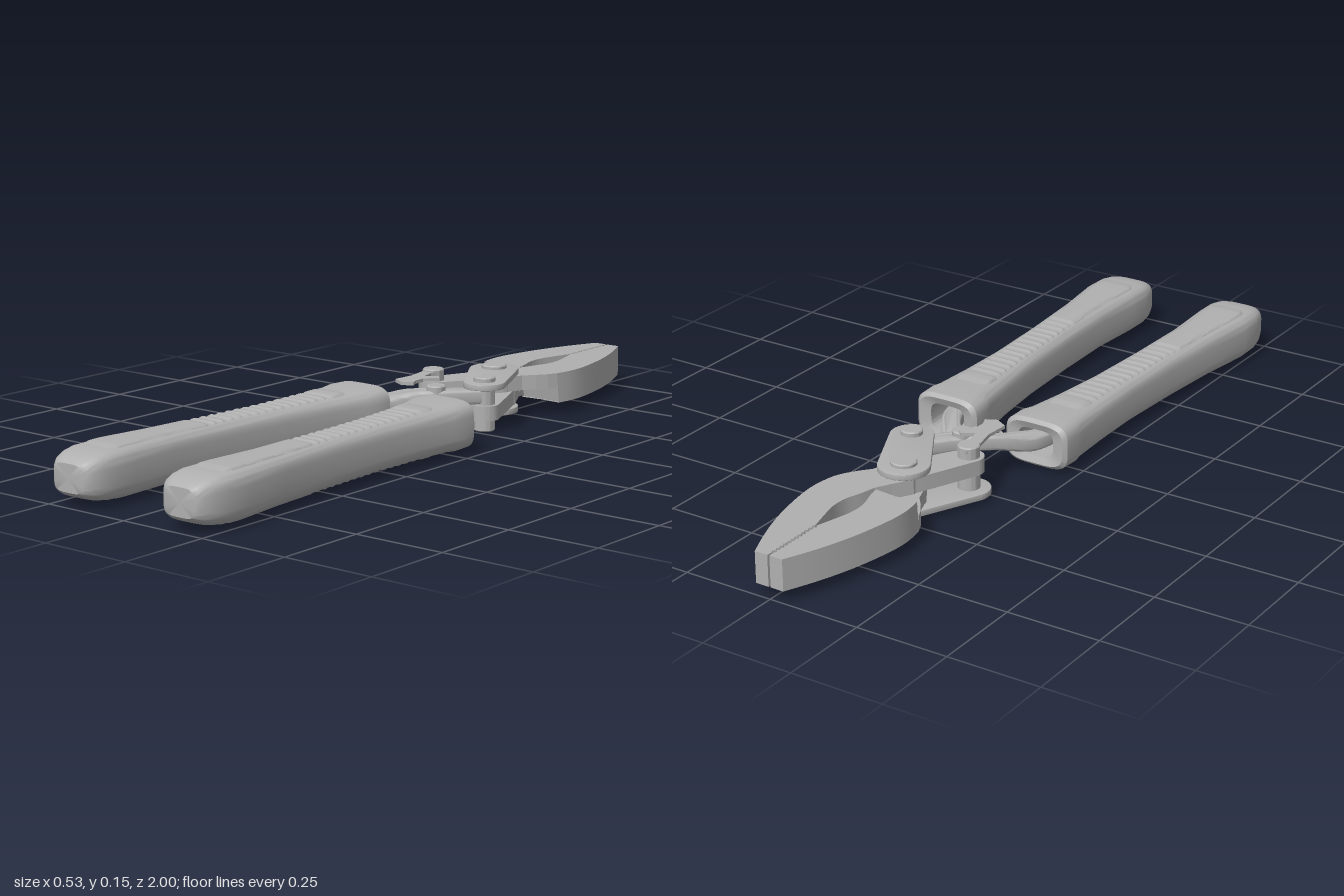
import * as THREE from 'three';
import { toCreasedNormals } from 'three/addons/utils/BufferGeometryUtils.js';

const MID = 0.075; // height of the tool's mid plane
const steel = new THREE.MeshStandardMaterial({ color: 0xb0b0b0 });
steel.name = 'plain grey';

function add(parent, name, geometry) {
  const mesh = new THREE.Mesh(geometry, steel);
  mesh.name = name;
  parent.add(mesh);
  return mesh;
}

// Flat plate: outline in x and z, extruded between two heights
function plate(shape, y0, y1, bevel = 0) {
  const g = new THREE.ExtrudeGeometry(shape, {
    depth: y1 - y0 - 2 * bevel, curveSegments: 20, bevelEnabled: bevel > 0,
    bevelThickness: bevel, bevelSize: bevel, bevelOffset: -bevel, bevelSegments: 3,
  });
  g.rotateX(Math.PI / 2);
  g.translate(0, y1 - bevel, 0);
  return g;
}

const outline = (pts) => new THREE.Shape(pts.map(([x, z]) => new THREE.Vector2(x, z)));
const spline = (pts, n) => new THREE.SplineCurve(pts.map(([x, z]) => new THREE.Vector2(x, z))).getPoints(n);

// Link with two round ends
function link([ax, az], [bx, bz], ra, rb) {
  const t = Math.atan2(bz - az, bx - ax);
  const f = Math.acos((ra - rb) / Math.hypot(bx - ax, bz - az));
  const s = new THREE.Shape();
  s.absarc(ax, az, ra, t + f, t - f + 2 * Math.PI, false);
  s.absarc(bx, bz, rb, t - f, t + f, false);
  return s;
}

// Pin with slightly chamfered heads
function pin(parent, name, [x, z], r, y0, y1) {
  const c = 0.003;
  const profile = [[0, y0], [r - c, y0], [r, y0 + c], [r, y1 - c], [r - c, y1], [0, y1]];
  const g = new THREE.LatheGeometry(profile.map(([a, b]) => new THREE.Vector2(a, b)), 28);
  add(parent, name, toCreasedNormals(g, 0.6)).position.set(x, 0, z);
}

// Skin over rounded sections [z, xMin, xMax, halfHeight]
function loft(stations, power, sides = 40) {
  const pos = [], idx = [];
  const bend = (v) => Math.sign(v) * Math.pow(Math.abs(v), 2 / power);
  for (const [z, x0, x1, h] of stations) {
    for (let j = 0; j < sides; j++) {
      const t = (j / sides) * 2 * Math.PI;
      pos.push((x0 + x1) / 2 + bend(Math.cos(t)) * (x1 - x0) / 2, MID + bend(Math.sin(t)) * h, z);
    }
  }
  const last = stations.length - 1;
  for (let i = 0; i < last; i++) {
    for (let j = 0; j < sides; j++) {
      const k = (j + 1) % sides, a = i * sides, b = a + sides;
      idx.push(a + j, a + k, b + j, a + k, b + k, b + j);
    }
  }
  for (const i of [0, last]) {
    const [z, x0, x1] = stations[i];
    const c = pos.length / 3, a = i * sides;
    pos.push((x0 + x1) / 2, MID, z);
    for (let j = 0; j < sides; j++) {
      const k = (j + 1) % sides;
      if (i === 0) idx.push(c, a + k, a + j);
      else idx.push(c, a + j, a + k);
    }
  }
  const g = new THREE.BufferGeometry();
  g.setAttribute('position', new THREE.Float32BufferAttribute(pos, 3));
  g.setIndex(idx);
  return toCreasedNormals(g, 0.7);
}

const grip = [
  [0.04, -0.19, -0.085, 0.035], [-0.054, -0.19, -0.085, 0.037], [-0.062, -0.222, -0.057, 0.056],
  [-0.052, -0.233, -0.046, 0.065], [0.0, -0.235, -0.047, 0.066], [0.03, -0.231, -0.056, 0.063],
  [0.15, -0.225, -0.075, 0.061], [0.3, -0.222, -0.092, 0.06], [0.5, -0.23, -0.104, 0.061],
  [0.7, -0.245, -0.109, 0.062], [0.85, -0.265, -0.1, 0.064], [0.92, -0.264, -0.099, 0.063],
  [0.955, -0.257, -0.104, 0.058], [0.98, -0.247, -0.113, 0.05], [0.993, -0.237, -0.124, 0.042],
  [1.0, -0.228, -0.135, 0.036],
];

function gripAt(z) {
  let i = 4;
  while (i < grip.length - 2 && grip[i + 1][0] < z) i++;
  const a = grip[i], b = grip[i + 1], t = (z - a[0]) / (b[0] - a[0]);
  return a.map((v, k) => v + (b[k] - v) * t);
}

function buildHalf() {
  const half = new THREE.Group();
  const pivot = [0, -0.45], rearPin = [0.087, -0.29];

  // Handle with hollow mouth
  add(half, 'handle', loft(grip, 4));

  // Ribbed grip panels on both faces of the handle
  const panel = [];
  for (let i = 0; i <= 180; i++) {
    const z = 0.04 + (i / 180) * 0.89;
    const [, x0, x1, h] = gripAt(z);
    const end = Math.min(1, Math.min(z - 0.04, 0.93 - z) / 0.05);
    const w = (x1 - x0) / 2 * (0.45 + 0.27 * Math.sqrt(end)), c = (x0 + x1) / 2;
    const rib = z > 0.12 && z < 0.57 ? 0.0025 * Math.cos((z - 0.12) / 0.03 * 2 * Math.PI) - 0.0025 : 0;
    panel.push([z, c - w, c + w, h - 0.003 + 0.0065 * end + rib]);
  }
  add(half, 'gripPanel', loft(panel, 7, 32));

  // Curved arm from the handle across the centre pin
  const path = new THREE.SplineCurve([
    [-0.142, 0.03], [-0.128, -0.04], [-0.095, -0.1], [-0.05, -0.15], [0, -0.19], [0.045, -0.24], rearPin,
  ].map(([x, z]) => new THREE.Vector2(x, z)));
  const sideA = [], sideB = [];
  for (let i = 0; i <= 30; i++) {
    const p = path.getPoint(i / 30), t = path.getTangent(i / 30);
    sideA.push([p.x - t.y * 0.026, p.y + t.x * 0.026]);
    sideB.unshift([p.x + t.y * 0.026, p.y - t.x * 0.026]);
  }
  const arm = plate(outline([...sideA, ...sideB]), 0.077, 0.117, 0.008);
  const ap = arm.attributes.position;
  for (let i = 0; i < ap.count; i++) {
    ap.setY(i, ap.getY(i) - 0.022 * THREE.MathUtils.smoothstep(ap.getZ(i), -0.17, -0.06));
  }
  add(half, 'arm', toCreasedNormals(arm, 0.6));

  // Jaw: curved back, toothed tip and hollow pipe grip
  const back = spline([[-0.04, -1], [-0.078, -0.91], [-0.11, -0.81], [-0.132, -0.7], [-0.136, -0.63], [-0.127, -0.57]], 24);
  const hollow = spline([[-0.003, -0.57], [-0.012, -0.61], [-0.027, -0.66], [-0.028, -0.71], [-0.014, -0.77], [-0.003, -0.81]], 20);
  const teeth = [];
  for (let i = 0; i <= 24; i++) teeth.push([i % 2 ? -0.007 : -0.002, -0.815 - i * 0.007]);
  const edge = [...back, ...hollow].map((p) => [p.x, p.y]);
  const jaw = plate(outline([...edge, ...teeth, [-0.003, -1]]), 0.033, 0.117);
  const jp = jaw.attributes.position;
  for (let i = 0; i < jp.count; i++) { // slanted shoulder at the lap joint
    if (jp.getY(i) > MID && Math.abs(jp.getZ(i) + 0.57) < 0.001) jp.setZ(i, -0.588);
  }
  add(half, 'jaw', toCreasedNormals(jaw, 0.4));

  // Half-thickness lap joint and tang behind the jaw
  add(half, 'jawLap', plate(outline([
    [-0.127, -0.571], [-0.115, -0.545], [-0.095, -0.515], [-0.07, -0.485], [-0.05, -0.43],
    [0.0, -0.4], [0.05, -0.43], [0.05, -0.48], [0.02, -0.53], [-0.003, -0.571],
  ]), 0.033, 0.074));
  add(half, 'jawTang', toCreasedNormals(plate(link(pivot, rearPin, 0.055, 0.04), 0.033, 0.074), 0.5));

  // Outer link plate and its pins
  add(half, 'linkPlate', toCreasedNormals(plate(link(pivot, rearPin, 0.067, 0.057), 0.119, 0.136, 0.002), 0.5));
  pin(half, 'rearPin', rearPin, 0.029, 0.001, 0.149);
  return half;
}

export function createModel() {
  const model = new THREE.Group();
  model.name = 'compoundPliers';

  // Both halves are the same part, turned half a revolution about the long axis
  const right = buildHalf();
  right.name = 'rightHalf';
  const left = buildHalf();
  left.name = 'leftHalf';
  left.rotation.z = Math.PI;
  left.position.y = 2 * MID;
  model.add(right, left);

  pin(model, 'mainPivot', [0, -0.45], 0.034, 0.004, 0.146);
  pin(model, 'centrePin', [0, -0.19], 0.026, 0.02, 0.13);

  // Locking latch with thumb tab and hook
  add(model, 'latch', plate(outline([
    [-0.112, -0.3], [-0.098, -0.32], [-0.07, -0.315], [-0.058, -0.29], [-0.068, -0.255], [-0.058, -0.215],
    [-0.025, -0.235], [-0.012, -0.22], [-0.04, -0.185], [-0.04, -0.155], [-0.03, -0.13],
    [-0.06, -0.115], [-0.095, -0.135], [-0.09, -0.2], [-0.1, -0.25],
  ]), 0.134, 0.143));

  // Wire return spring between the arms
  const ring = new THREE.TorusGeometry(0.056, 0.004, 8, 36, Math.PI * 1.2);
  ring.rotateZ(-Math.PI * 0.1);
  ring.rotateX(Math.PI / 2);
  add(model, 'spring', ring).position.set(0, MID, -0.1);
  return model;
}
